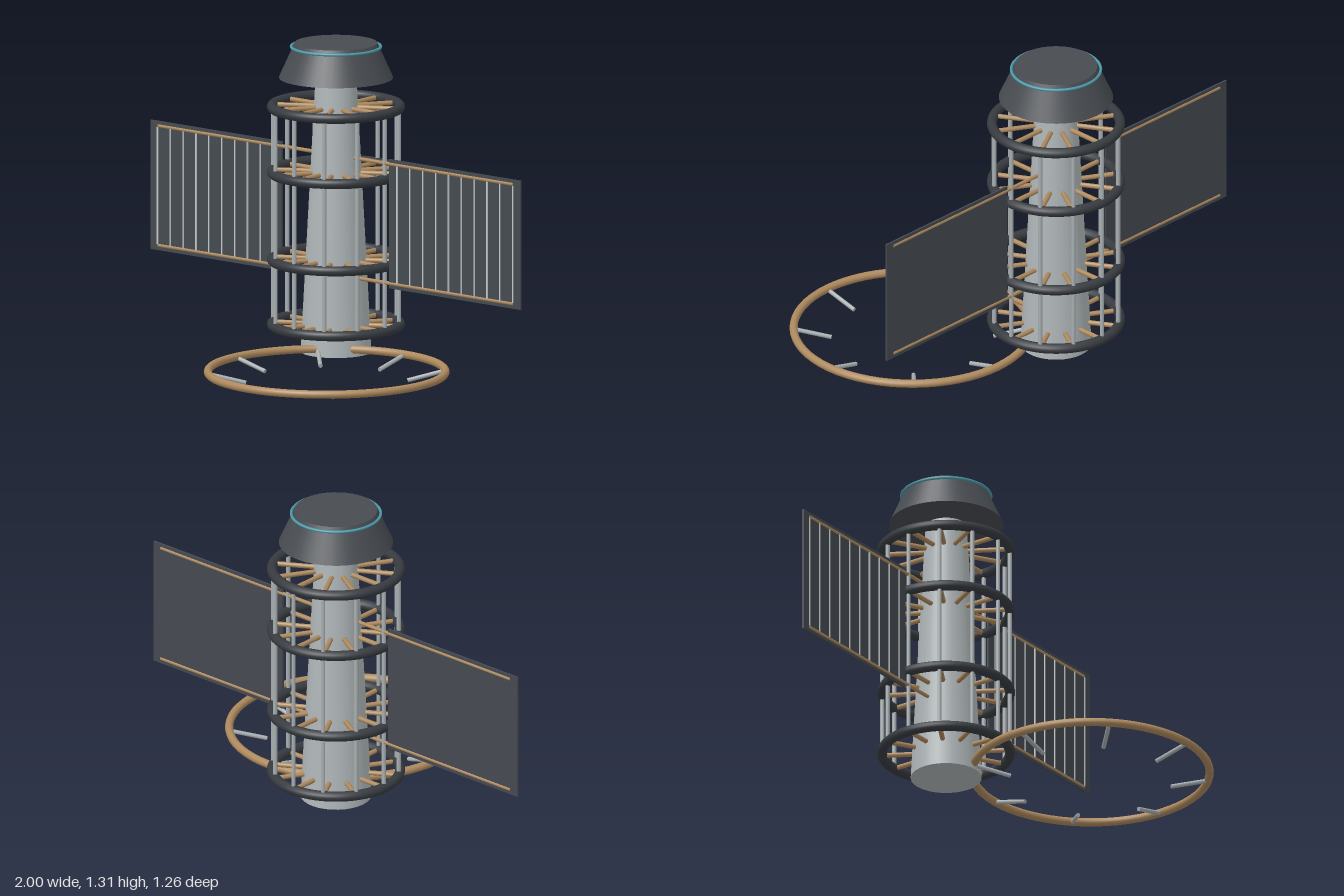
import * as THREE from 'three';

const mat = (name, color) => {
  const m = new THREE.MeshStandardMaterial({ color });
  m.name = name;
  return m;
};

export function createModel() {
  const hull = mat('hull grey', 0xb0b7b9);
  const steel = mat('steel rods', 0xa9b0b2);
  const pale = mat('pale strips', 0xc2c8cb);
  const dark = mat('dark ring metal', 0x373b40);
  const capDark = mat('dark cap metal', 0x484c51);
  const panelDark = mat('panel slate', 0x454a50);
  const bronze = mat('bronze', 0xae8a5e);
  const teal = mat('teal glow', 0x4a9aaa);

  const model = new THREE.Group();
  model.name = 'station';
  const tower = new THREE.Group();
  tower.name = 'tower';
  tower.position.set(0, 0, -0.35);
  model.add(tower);

  const add = (parent, name, geo, material, x = 0, y = 0, z = 0) => {
    const mesh = new THREE.Mesh(geo, material);
    mesh.name = name;
    mesh.position.set(x, y, z);
    parent.add(mesh);
    return mesh;
  };
  // Round bar between two points
  const bar = (parent, name, a, b, r, material) => {
    const from = new THREE.Vector3(...a), to = new THREE.Vector3(...b);
    const dir = to.clone().sub(from);
    const mesh = add(parent, name, new THREE.CylinderGeometry(r, r, dir.length(), 10), material);
    mesh.position.copy(from).add(to).multiplyScalar(0.5);
    mesh.quaternion.setFromUnitVectors(new THREE.Vector3(0, 1, 0), dir.normalize());
  };
  // Horizontal ring
  const ring = (parent, name, R, r, material, y) => {
    const geo = new THREE.TorusGeometry(R, r, 12, 64).rotateX(Math.PI / 2);
    add(parent, name, geo, material, 0, y, 0);
  };

  // Tapered core and flared cap
  add(tower, 'core', new THREE.CylinderGeometry(0.085, 0.146, 1.14, 32), hull, 0, 0.589, 0);
  add(tower, 'cap', new THREE.CylinderGeometry(0.17, 0.235, 0.145, 40), capDark, 0, 1.2375, 0);
  ring(tower, 'capGlowRing', 0.184, 0.006, teal, 1.294);

  // Cage: four rings with spokes, joined by upright rods
  const R = 0.263, count = 12;
  for (const y of [0.133, 0.405, 0.77, 1.043]) {
    ring(tower, 'cageRing', R, 0.021, dark, y);
    for (let i = 0; i < count; i++) {
      const a = (i / count) * Math.PI * 2, c = Math.cos(a), s = Math.sin(a);
      bar(tower, 'spoke', [c * 0.08, y, s * 0.08], [c * R, y, s * R], 0.01, bronze);
    }
  }
  for (let i = 0; i < count; i++) {
    const a = (i / count) * Math.PI * 2;
    const x = Math.cos(a) * R, z = Math.sin(a) * R;
    bar(tower, 'cageRod', [x, 0.133, z], [x, 1.043, z], 0.009, steel);
  }

  // Panel wings with rails and front cell strips
  for (const side of [-1, 1]) {
    const wing = new THREE.Group();
    wing.name = side > 0 ? 'leftWing' : 'rightWing';
    tower.add(wing);
    add(wing, 'panel', new THREE.BoxGeometry(0.71, 0.54, 0.008), panelDark, side * 0.645, 0.59, 0);
    for (const y of [0.34, 0.84]) {
      bar(wing, 'rail', [0, y, 0], [side * 0.96, y, 0], 0.008, bronze);
    }
    for (let i = 0; i < 10; i++) {
      add(wing, 'cellStrip', new THREE.BoxGeometry(0.006, 0.49, 0.004), pale,
        side * (0.335 + i * 0.0695), 0.59, 0.0055);
    }
  }

  // Docking hoop with eight inward legs
  const hoop = new THREE.Group();
  hoop.name = 'hoop';
  hoop.position.set(0.357, 0, 0.125);
  model.add(hoop);
  ring(hoop, 'hoopRing', 0.488, 0.017, bronze, 0.05);
  for (let i = 0; i < 8; i++) {
    const a = (i / 8) * Math.PI * 2, c = Math.cos(a), s = Math.sin(a);
    bar(hoop, 'hoopLeg', [c * 0.333, 0.009, s * 0.333], [c * 0.482, 0.046, s * 0.482], 0.009, steel);
  }

  return model;
}
